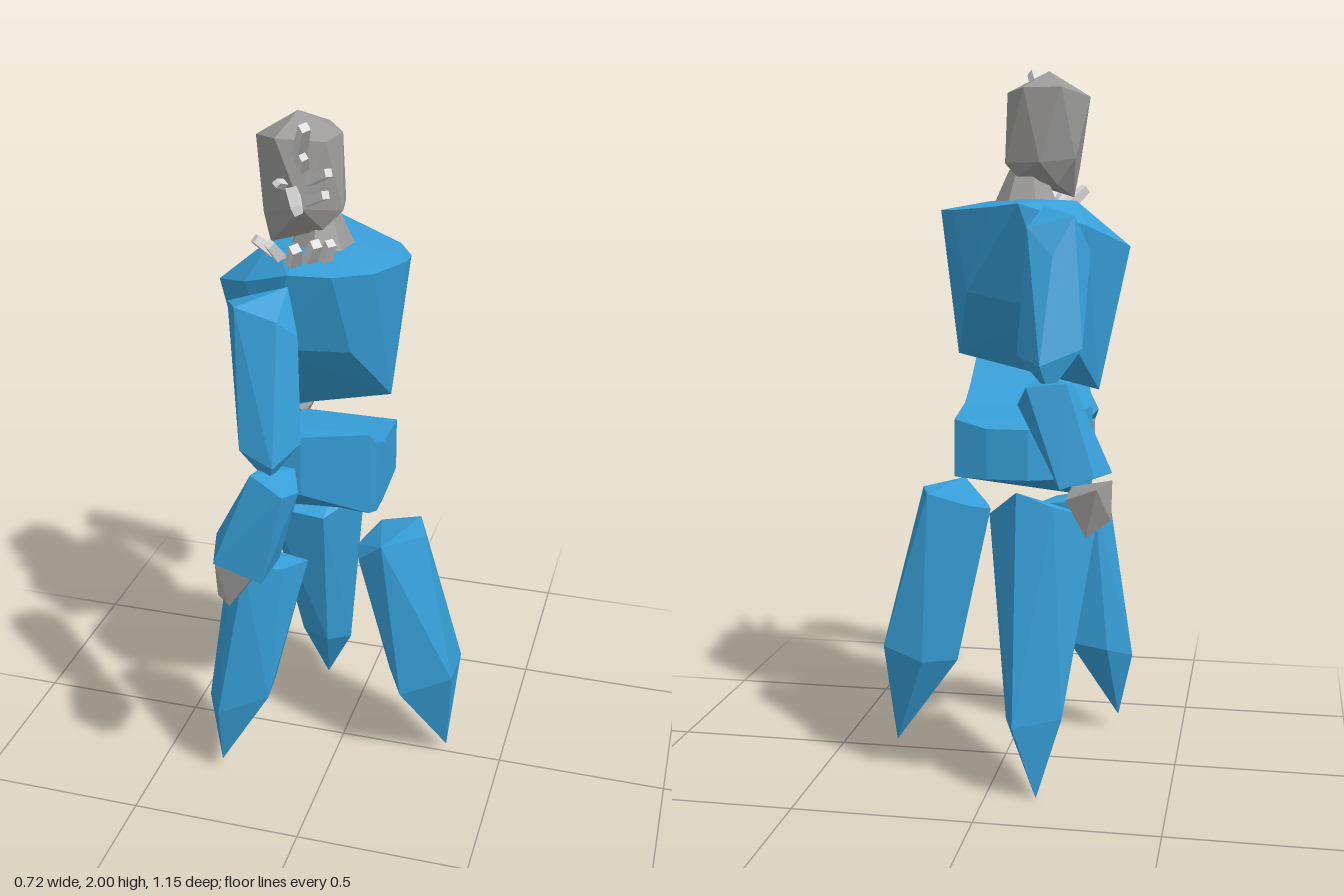
import * as THREE from 'three';
import { ConvexGeometry } from 'three/addons/geometries/ConvexGeometry.js';

const flat = (name, color) => {
  const m = new THREE.MeshStandardMaterial({ color, flatShading: true });
  m.name = name;
  return m;
};

export function createModel() {
  const model = new THREE.Group();
  model.name = 'crystalGolem';
  const blue = flat('blueCrystal', 0x379fd8);
  const stone = flat('greyStone', 0x9c9b9a);
  const pale = flat('paleSpike', 0xdcdcdc);

  const add = (name, geometry, material) => {
    const mesh = new THREE.Mesh(geometry, material);
    mesh.name = name;
    model.add(mesh);
    return mesh;
  };
  // Faceted shard: the hull of a few corner points
  const shard = (name, material, points) =>
    add(name, new ConvexGeometry(points.map((p) => new THREE.Vector3(...p))), material);

  // Chest: shoulder rim, four lower corners, keel along the bottom
  shard('chest', blue, [
    [-0.2, 1.625, 0], [-0.1, 1.63, 0.1], [-0.08, 1.63, -0.1], [0.04, 1.625, 0],
    [-0.08, 1.62, -0.265], [-0.25, 1.56, -0.16], [-0.35, 1.5, 0.02], [-0.22, 1.56, 0.18],
    [-0.08, 1.615, 0.25], [0.03, 1.61, 0.225], [0.12, 1.6, 0.14], [0.18, 1.6, 0.02],
    [0.18, 1.6, -0.03], [0.13, 1.6, -0.12], [0, 1.61, -0.215],
    [0.06, 1.375, 0.145], [-0.15, 1.39, 0.215], [0.08, 1.38, -0.16], [-0.17, 1.33, -0.19],
    [0.135, 1.195, -0.01], [-0.27, 1.1, -0.02],
  ]);

  // Hips: bent band, one section per row: z, x left, x right, bottom left, bottom right, top
  const rows = [
    [0.255, -0.13, -0.05, 0.985, 0.985, 1.16],
    [0.19, -0.19, 0.125, 0.94, 0.92, 1.16],
    [0.1, -0.23, 0.125, 0.86, 0.88, 1.09],
    [0, -0.25, 0.12, 0.79, 0.87, 1.05],
    [-0.19, -0.17, 0.11, 0.87, 0.87, 1.03],
    [-0.22, -0.1, 0.015, 0.87, 0.87, 1.01],
  ];
  const pos = [], idx = [];
  rows.forEach(([z, x0, x1, b0, b1, t], i) => {
    pos.push(x0, b0, z, x1, b1, z, x1, t, z, x0, t, z);
    if (i === rows.length - 1) return;
    for (let j = 0; j < 4; j++) {
      const a = i * 4 + j, b = i * 4 + ((j + 1) % 4);
      idx.push(a, a + 4, b + 4, a, b + 4, b);
    }
  });
  const e = (rows.length - 1) * 4;
  idx.push(0, 1, 2, 0, 2, 3, e, e + 2, e + 1, e, e + 3, e + 2);
  const hips = new THREE.BufferGeometry();
  hips.setAttribute('position', new THREE.Float32BufferAttribute(pos, 3));
  hips.setIndex(idx);
  hips.computeVertexNormals();
  add('hips', hips, blue);

  // Three legs: upper ring, lower ring, tip
  shard('leftLeg', blue, [
    [0.155, 0.8, 0.165], [0.257, 0.79, 0.05], [0.22, 0.79, -0.06], [0.1, 0.76, -0.06],
    [0.055, 0.73, 0.05], [0.08, 0.73, 0.13],
    [0.355, 0.33, -0.06], [0.355, 0.33, 0.08], [0.23, 0.3, -0.105], [0.146, 0.28, 0],
    [0.21, 0.28, 0.13], [0.33, 0.025, -0.005],
  ]);
  shard('frontLeg', blue, [
    [-0.27, 0.77, 0.235], [-0.21, 0.745, 0.29], [-0.11, 0.735, 0.25], [-0.06, 0.725, 0.165],
    [-0.24, 0.745, 0.15],
    [-0.35, 0.25, 0.235], [-0.295, 0.25, 0.32], [-0.15, 0.31, 0.285], [-0.165, 0.3, 0.17],
    [-0.28, 0.28, 0.17], [-0.305, 0.045, 0.275],
  ]);
  shard('backLeg', blue, [
    [-0.08, 0.85, -0.29], [0.01, 0.77, -0.2], [-0.08, 0.735, -0.06], [-0.25, 0.745, -0.07],
    [-0.29, 0.77, -0.2], [-0.18, 0.81, -0.28],
    [-0.08, 0.21, -0.355], [-0.045, 0.2, -0.25], [-0.21, 0.23, -0.31], [-0.19, 0.24, -0.2],
    [-0.1, 0.23, -0.165], [-0.14, 0, -0.315],
  ]);

  // Arm on the +z side
  shard('frontUpperArm', blue, [
    [-0.05, 1.62, 0.34], [-0.14, 1.56, 0.3], [-0.06, 1.545, 0.305], [-0.2, 1.58, 0.37],
    [-0.16, 1.59, 0.435], [-0.01, 1.51, 0.39], [-0.05, 1.56, 0.435],
    [0.01, 1.24, 0.44], [-0.04, 1.2, 0.525], [-0.135, 1.23, 0.5], [-0.13, 1.26, 0.41], [-0.05, 1.23, 0.39],
    [-0.06, 1.15, 0.5],
  ]);
  shard('frontForearm', blue, [
    [-0.08, 1.17, 0.44], [-0.09, 1.19, 0.55], [0, 1.15, 0.575], [0.02, 1.13, 0.5], [-0.01, 1.16, 0.43],
    [-0.21, 0.97, 0.49], [-0.19, 0.93, 0.575], [-0.06, 0.89, 0.575], [-0.05, 0.9, 0.45], [-0.17, 0.93, 0.43],
  ]);
  shard('frontHand', stone, [
    [-0.19, 0.93, 0.565], [-0.08, 0.91, 0.56], [-0.08, 0.89, 0.46], [-0.19, 0.92, 0.46],
    [-0.19, 0.82, 0.55], [-0.16, 0.79, 0.55], [-0.19, 0.81, 0.49], [-0.15, 0.79, 0.48],
  ]);

  // Arm on the -z side
  shard('backUpperArm', blue, [
    [-0.16, 1.615, -0.33], [-0.22, 1.56, -0.3], [-0.14, 1.545, -0.29], [-0.285, 1.5, -0.36],
    [-0.25, 1.59, -0.41], [-0.2, 1.49, -0.45], [-0.13, 1.56, -0.42],
    [-0.28, 1.26, -0.47], [-0.18, 1.22, -0.53], [-0.11, 1.24, -0.455], [-0.15, 1.21, -0.37], [-0.25, 1.25, -0.385],
    [-0.2, 1.15, -0.5],
  ]);
  shard('backForearm', blue, [
    [-0.25, 1.16, -0.405], [-0.25, 1.18, -0.54], [-0.15, 1.17, -0.55], [-0.12, 1.12, -0.5], [-0.15, 1.17, -0.41],
    [-0.36, 0.95, -0.485], [-0.325, 0.95, -0.565], [-0.24, 0.92, -0.58], [-0.21, 0.93, -0.47], [-0.28, 0.92, -0.43],
  ]);
  shard('backHand', stone, [
    [-0.36, 0.93, -0.48], [-0.33, 0.92, -0.565], [-0.25, 0.89, -0.555], [-0.25, 0.9, -0.43],
    [-0.36, 0.83, -0.5], [-0.3, 0.79, -0.53], [-0.3, 0.81, -0.48],
  ]);

  // Neck and head
  const neck = add('neck', new THREE.CylinderGeometry(0.05, 0.095, 0.1, 7), stone);
  neck.position.set(-0.06, 1.66, 0);
  shard('head', stone, [
    [-0.12, 1.98, 0.01],
    [-0.235, 1.91, 0.015], [-0.17, 1.93, -0.1], [-0.065, 1.93, -0.1], [-0.01, 1.92, -0.03],
    [-0.025, 1.92, 0.08], [-0.15, 1.93, 0.117],
    [-0.2, 1.74, -0.03], [-0.11, 1.73, -0.095], [-0.01, 1.73, -0.06], [0.01, 1.73, 0.04],
    [-0.08, 1.75, 0.12], [-0.2, 1.72, 0.07],
    [-0.185, 1.635, 0.06], [-0.15, 1.67, -0.03], [-0.04, 1.69, -0.05], [-0.04, 1.68, 0.06],
  ]);

  // Square spikes on the face and collar: base, tip, radius
  const spikes = [
    [[-0.1, 1.86, 0.08], [-0.04, 1.99, 0.215], 0.022],
    [[-0.12, 1.79, 0.07], [-0.04, 1.8, 0.285], 0.022],
    [[-0.1, 1.8, 0.07], [0.005, 1.865, 0.16], 0.02],
    [[-0.1, 1.75, 0.08], [0, 1.81, 0.17], 0.02],
    [[-0.13, 1.8, 0.08], [-0.13, 1.83, 0.17], 0.016],
    [[-0.09, 1.83, 0.07], [-0.06, 1.9, 0.16], 0.018],
    [[-0.16, 1.61, 0.09], [-0.21, 1.66, 0.12], 0.022],
    [[-0.13, 1.61, 0.13], [-0.15, 1.67, 0.18], 0.022],
    [[-0.09, 1.61, 0.17], [-0.06, 1.685, 0.24], 0.024],
    [[-0.06, 1.61, 0.14], [-0.02, 1.685, 0.19], 0.024],
    [[-0.02, 1.61, 0.12], [0.01, 1.68, 0.16], 0.022],
  ];
  spikes.forEach(([a, b, r]) => {
    const base = new THREE.Vector3(...a), tip = new THREE.Vector3(...b);
    const dir = tip.clone().sub(base);
    const spike = add('spike', new THREE.CylinderGeometry(r * 0.75, r, dir.length(), 4), pale);
    spike.position.copy(base).add(tip).multiplyScalar(0.5);
    spike.quaternion.setFromUnitVectors(new THREE.Vector3(0, 1, 0), dir.normalize());
  });

  return model;
}
